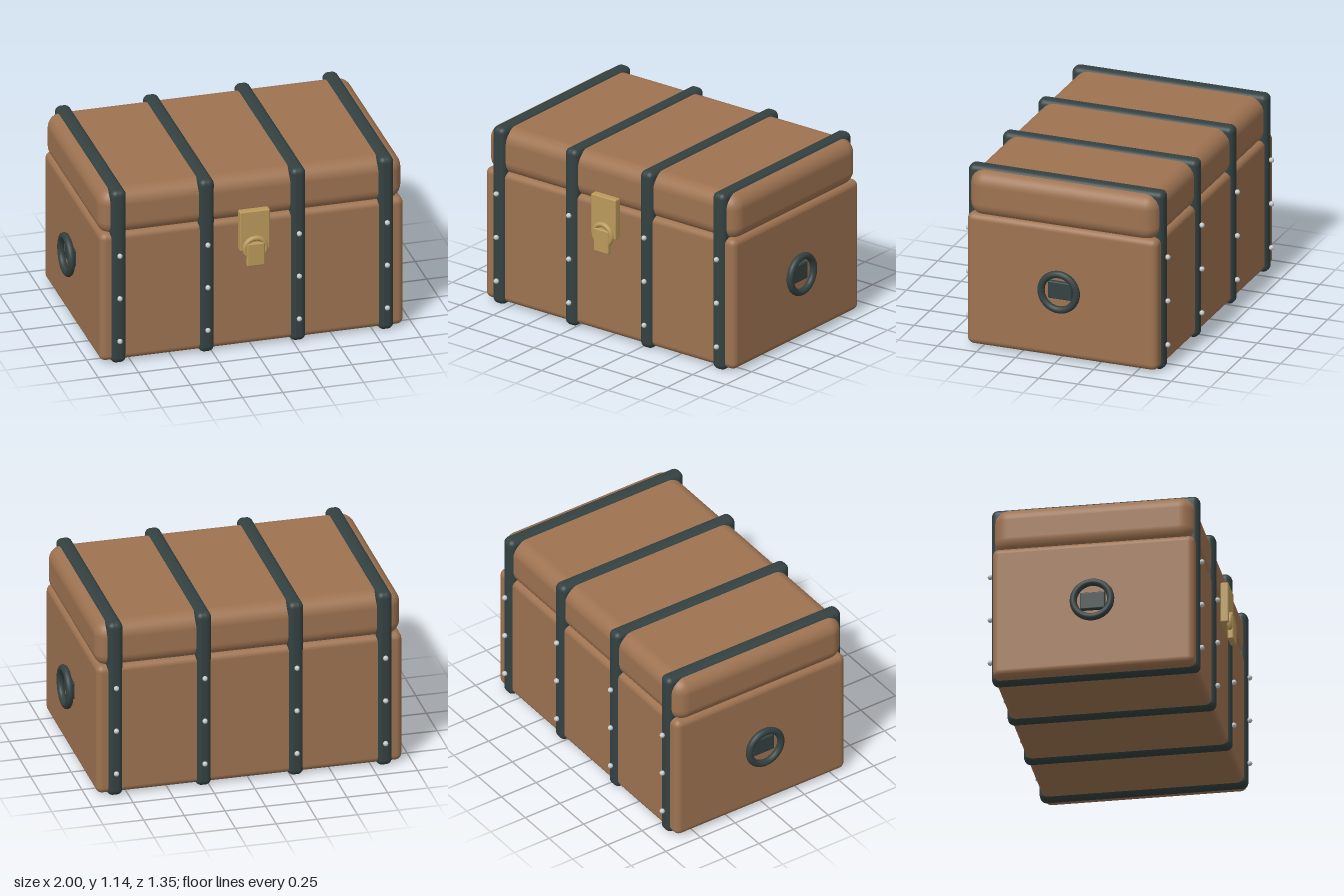
import * as THREE from 'three';
import { RoundedBoxGeometry } from 'three/addons/geometries/RoundedBoxGeometry.js';

const material = (name, color) => {
  const m = new THREE.MeshStandardMaterial({ color });
  m.name = name;
  return m;
};

export function createModel() {
  const chest = new THREE.Group();
  chest.name = 'chest';

  const wood = material('brown wood', 0x9e7351);
  const iron = material('dark iron', 0x344141);
  const brass = material('brass', 0xba9a5b);
  const steel = material('pale steel', 0xc6c9c9);

  const add = (name, geometry, mat, x, y, z) => {
    const mesh = new THREE.Mesh(geometry, mat);
    mesh.name = name;
    mesh.position.set(x, y, z);
    chest.add(mesh);
    return mesh;
  };

  // Rounded box given by its [min, max] range on each axis
  const box = (name, mat, [x0, x1], [y0, y1], [z0, z1], radius) =>
    add(name, new RoundedBoxGeometry(x1 - x0, y1 - y0, z1 - z0, 5, radius), mat,
      (x0 + x1) / 2, (y0 + y1) / 2, (z0 + z1) / 2);

  // Wooden body and softer, rounder lid
  box('body', wood, [-0.94, 0.94], [0.015, 0.855], [-0.63, 0.592], 0.04);
  box('lid', wood, [-0.94, 0.94], [0.83, 1.125], [-0.625, 0.587], 0.09);

  // Iron straps around the chest, with rivets front and back
  const rivet = new THREE.SphereGeometry(0.016, 16, 12);
  for (const x of [-0.828, -0.283, 0.283, 0.828]) {
    box('strap', iron, [x - 0.048, x + 0.048], [0, 1.14], [-0.646, 0.61], 0.037);
    for (const y of [0.155, 0.437, 0.718]) {
      add('frontRivet', rivet, steel, x, y, 0.62);
      add('backRivet', rivet, steel, x, y, -0.658);
    }
  }

  // Ring handles on the two ends
  const ring = new THREE.TorusGeometry(0.113, 0.022, 16, 48);
  for (const side of [-1, 1]) {
    const handle = add('handleRing', ring, iron, side * 0.978, 0.453, -0.018);
    handle.rotation.y = Math.PI / 2;
    const mount = box('handleMount', iron, [0.9, 0.965], [0.4, 0.51], [-0.095, 0.058], 0.008);
    mount.position.x *= side;
  }

  // Brass clasp: plate, ring and hanging tab
  box('claspPlate', brass, [-0.093, 0.093], [0.663, 0.922], [0.603, 0.652], 0.008);
  add('claspRing', new THREE.TorusGeometry(0.064, 0.016, 14, 40), brass, 0, 0.68, 0.655);
  box('claspTab', brass, [-0.055, 0.055], [0.568, 0.717], [0.64, 0.675], 0.008);

  return chest;
}
